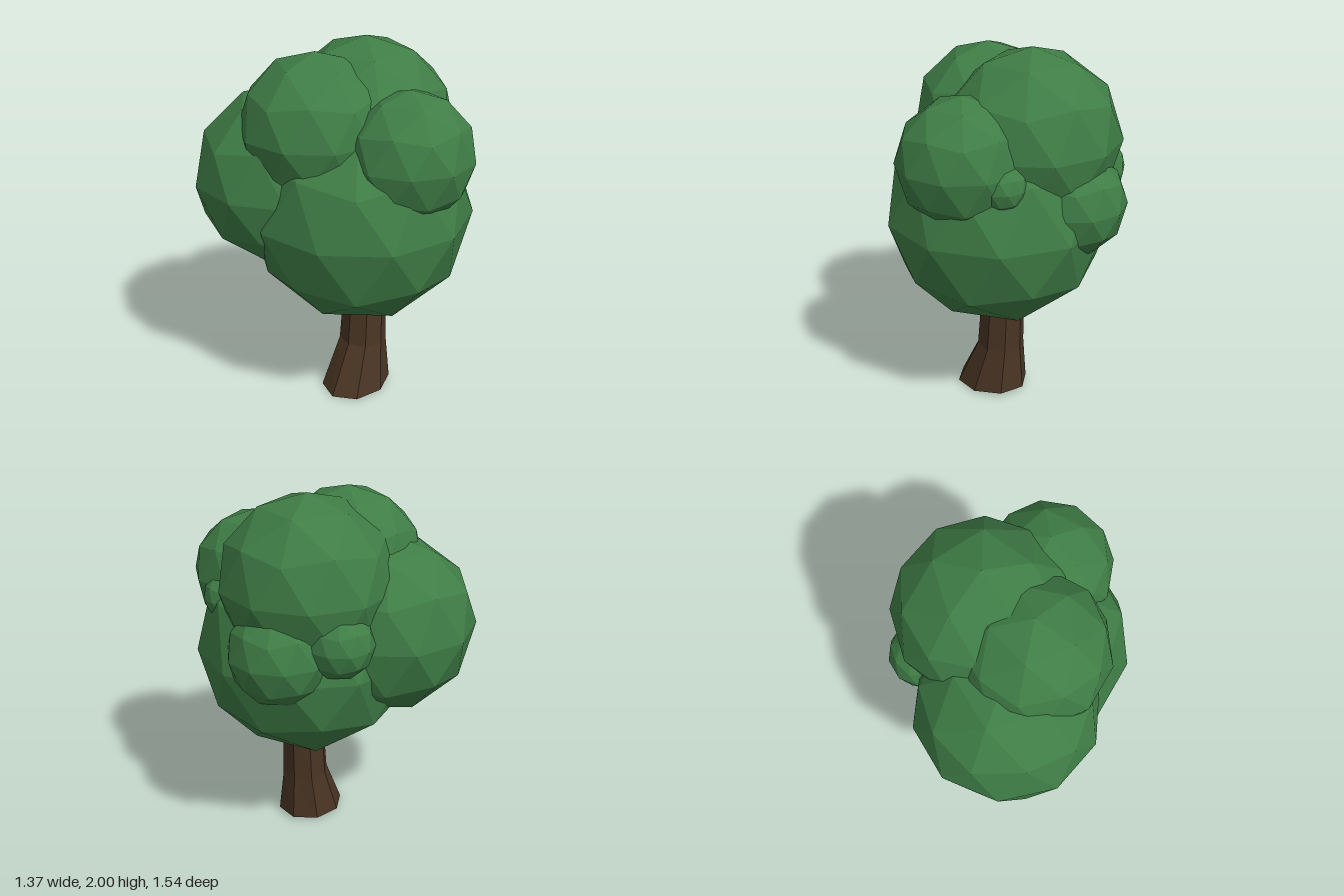
import * as THREE from 'three';

const rad = THREE.MathUtils.degToRad;

// Faceted ball standing on a corner, turned about its vertical axis
function facetedBall(radius, turn) {
  const g = new THREE.IcosahedronGeometry(radius, 1);
  g.rotateZ(-Math.atan(2 / (1 + Math.sqrt(5))));
  g.rotateY(rad(turn));
  g.computeVertexNormals(); // unshared corners give flat faces
  return g;
}

// Eight-sided trunk: recessed underside, flared foot leaning to one side
function trunkGeometry() {
  const profile = [
    [0, 0.09], [0.06, 0.09], [0.07, 0.05], [0.11, 0.05], [0.135, 0.07], [0.165, 0.005],
    [0.18, 0], [0.132, 0.28], [0.12, 0.62], [0, 0.62],
  ].map(([r, y]) => new THREE.Vector2(r, y));
  const g = new THREE.LatheGeometry(profile, 8).toNonIndexed();
  const p = g.attributes.position;
  for (let i = 0; i < p.count; i++) {
    const y = p.getY(i);
    const foot = Math.max(0, 1 - y / 0.28);
    const rise = Math.max(0, y - 0.28) / 0.34;
    const x = p.getX(i) * (1 + 0.18 * foot) - 0.01 - 0.062 * foot + 0.02 * rise;
    p.setX(i, x);
    p.setY(i, y + foot * (0.0134 + 0.047 * x));
  }
  g.computeVertexNormals();
  return g;
}

export function createModel() {
  const leaves = new THREE.MeshStandardMaterial({ color: 0x3f7d46 });
  leaves.name = 'leaf green';
  const bark = new THREE.MeshStandardMaterial({ color: 0x4a3524 });
  bark.name = 'bark brown';

  const tree = new THREE.Group();
  tree.name = 'tree';

  const trunk = new THREE.Mesh(trunkGeometry(), bark);
  trunk.name = 'trunk';
  trunk.position.z = 0.13;
  tree.add(trunk);

  // Crown: overlapping leaf clumps [name, x, y, z, radius, turn]
  const crown = new THREE.Group();
  crown.name = 'crown';
  const clumps = [
    ['mainClump', -0.03, 1.09, 0.12, 0.61, 0],
    ['topClump', 0.13, 1.52, 0.03, 0.48, 11],
    ['topRightClump', -0.2, 1.56, -0.045, 0.41, 36],
    ['backClump', -0.19, 1.24, -0.28, 0.5, -47],
    ['frontClump', -0.025, 1.47, 0.43, 0.35, 20],
    ['leftClump', 0.4, 1.215, 0.045, 0.285, 15],
    ['smallBackClump', 0.33, 1.3, -0.26, 0.185, 25],
    ['smallFrontClump', 0.24, 1.4, 0.46, 0.13, 10],
  ];
  for (const [name, x, y, z, radius, turn] of clumps) {
    const clump = new THREE.Mesh(facetedBall(radius, turn), leaves);
    clump.name = name;
    clump.position.set(x, y, z);
    crown.add(clump);
  }
  tree.add(crown);
  return tree;
}
